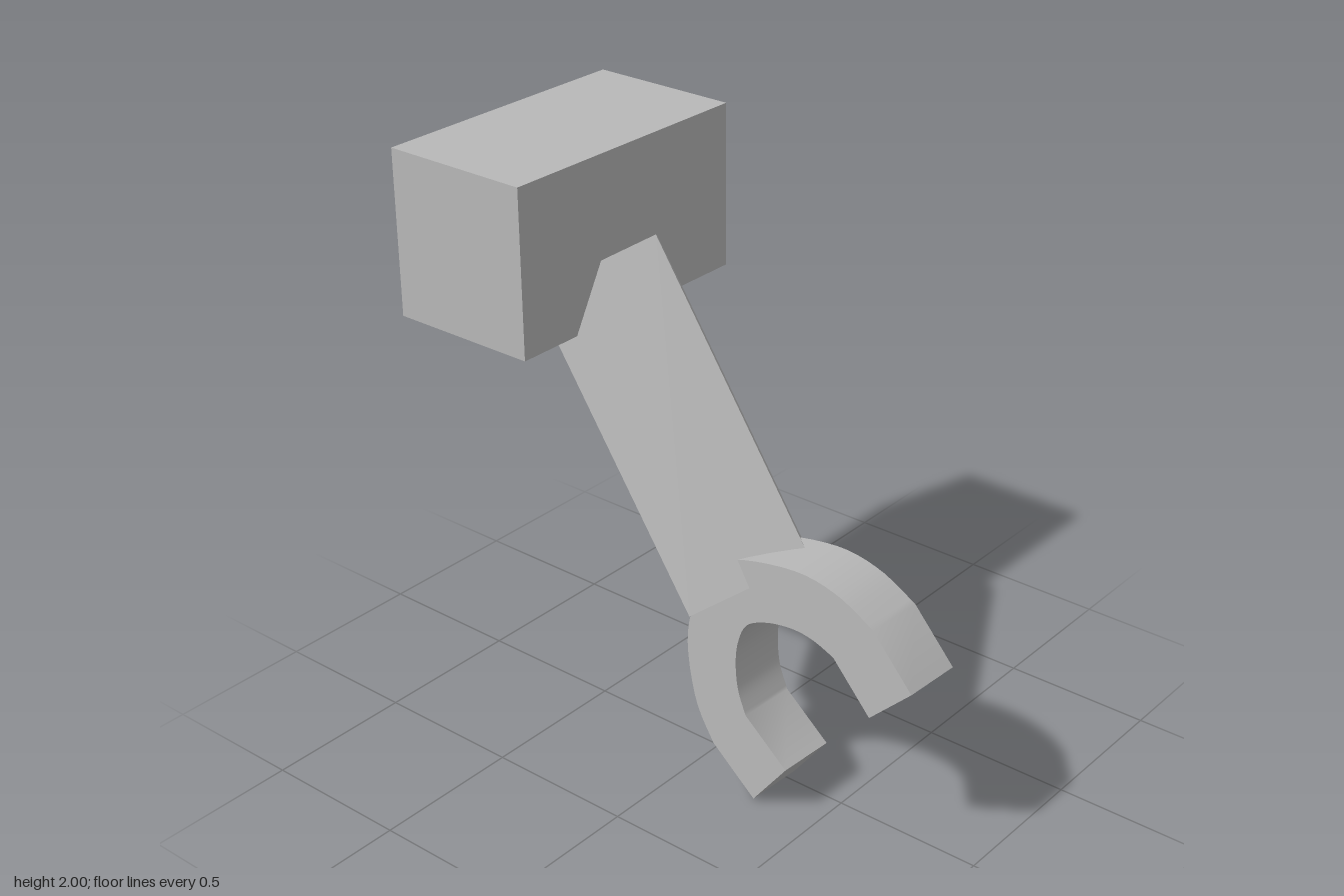
import * as THREE from 'three';
import { toCreasedNormals } from 'three/addons/utils/BufferGeometryUtils.js';

export function createModel() {
  const group = new THREE.Group();
  const grey = new THREE.MeshStandardMaterial({ color: 0xb8b8b8 });
  const add = (name, geometry) => {
    const mesh = new THREE.Mesh(toCreasedNormals(geometry, 0.5), grey);
    mesh.name = name;
    group.add(mesh);
    return mesh;
  };

  // Shoulder block
  add('shoulder', new THREE.BoxGeometry(0.51, 0.54, 0.93)).position.set(-0.603, 1.73, 0.003);

  // Square arm standing on its edge, sloping down to the left
  const arm = add('arm', new THREE.CylinderGeometry(0.286, 0.286, 1.08, 4));
  arm.position.set(-0.18, 1.13, 0);
  arm.rotation.z = Math.atan2(0.6, 0.9);

  // Open claw: a curved grip with two straight tips
  const points = (list) => list.map(([x, y]) => new THREE.Vector2(x, y));
  const claw = new THREE.Shape();
  claw.moveTo(0.275, 0.005);
  claw.lineTo(0.105, 0.14);
  claw.splineThru(points([[0.03, 0.27], [-0.008, 0.47], [0.02, 0.63], [0.09, 0.765],
    [0.19, 0.84], [0.41, 0.885], [0.57, 0.865], [0.705, 0.8]]));
  claw.lineTo(0.853, 0.643);
  claw.lineTo(0.707, 0.5);
  claw.lineTo(0.565, 0.65);
  claw.splineThru(points([[0.49, 0.677], [0.41, 0.685], [0.31, 0.667], [0.23, 0.625],
    [0.197, 0.55], [0.19, 0.47], [0.202, 0.38], [0.235, 0.3]]));
  claw.lineTo(0.4, 0.17);
  claw.closePath();
  const geometry = new THREE.ExtrudeGeometry(claw, { depth: 0.205, bevelEnabled: false, curveSegments: 4 });
  geometry.translate(0, 0, -0.205);
  const hand = add('claw', geometry);
  hand.rotation.set(-0.023, -0.027, 0);
  hand.position.z = 0.155;

  return group;
}
